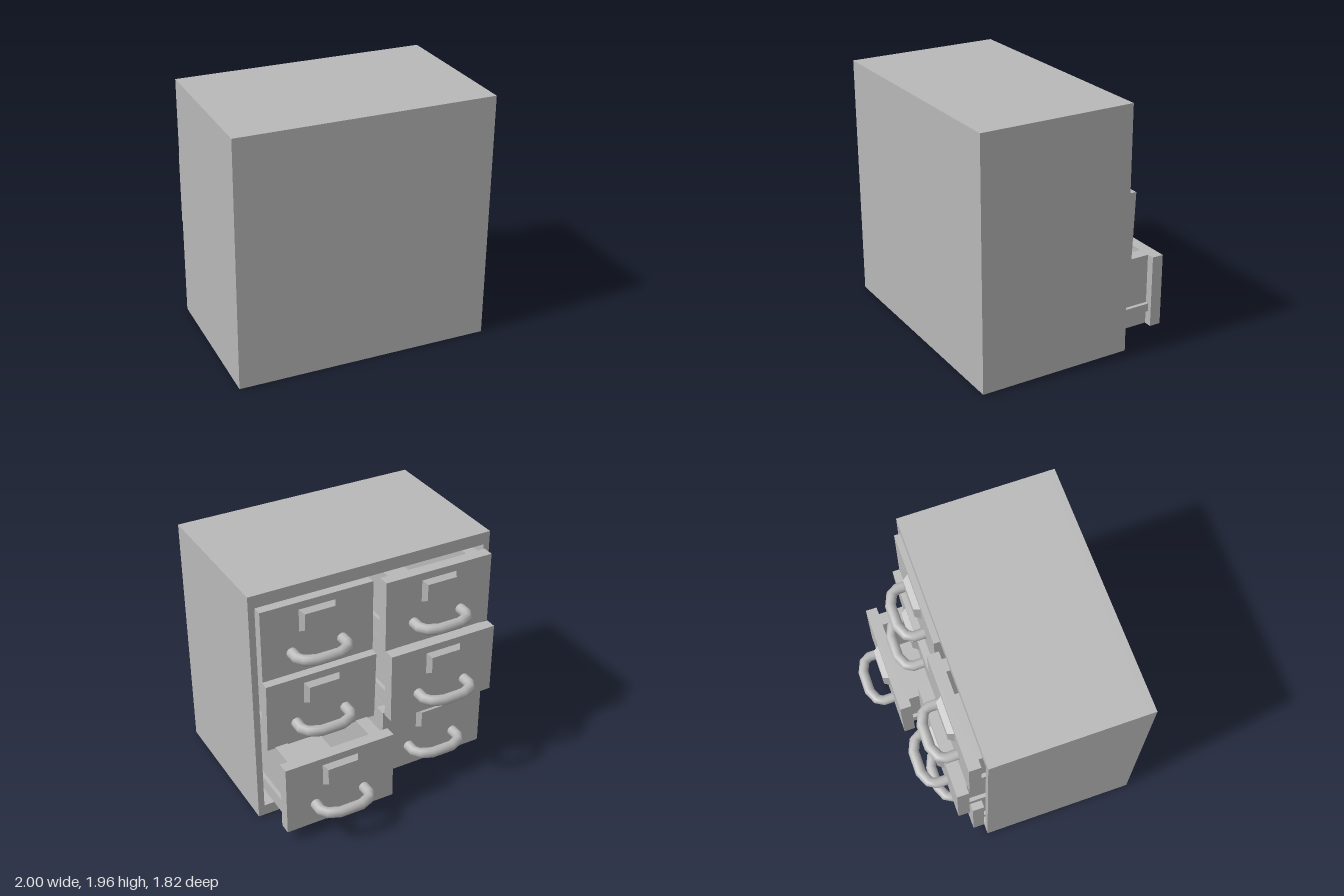
import * as THREE from 'three';

// Straight-segment path whose joints are mitred by TubeGeometry
class Polyline extends THREE.Curve {
  constructor(points) {
    super();
    this.points = points;
  }
  getPoint(t, target = new THREE.Vector3()) {
    const last = this.points.length - 1;
    const s = THREE.MathUtils.clamp(t, 0, 1) * last;
    const i = Math.min(Math.floor(s), last - 1);
    return target.lerpVectors(this.points[i], this.points[i + 1], s - i);
  }
  getUtoTmapping(u) {
    return u;
  }
}

export function createModel() {
  const model = new THREE.Group();
  model.name = 'filingCabinet';
  const grey = new THREE.MeshStandardMaterial({ color: 0xb8b8b8 });
  grey.name = 'cabinet grey';

  const add = (parent, name, geometry, x = 0, y = 0, z = 0) => {
    const mesh = new THREE.Mesh(geometry, grey);
    mesh.name = name;
    mesh.position.set(x, y, z);
    parent.add(mesh);
    return mesh;
  };
  const box = (w, h, d) => new THREE.BoxGeometry(w, h, d);

  // Cabinet shell: a rectangular sleeve open at -z, closed at +z
  const outline = new THREE.Shape([[-1, 0], [1, 0], [1, 1.96], [-1, 1.96]].map(p => new THREE.Vector2(...p)));
  outline.holes.push(new THREE.Path(
    [[-0.95, 0.09], [-0.95, 1.86], [0.95, 1.86], [0.95, 0.09]].map(p => new THREE.Vector2(...p))));
  add(model, 'cabinetShell', new THREE.ExtrudeGeometry(outline, { depth: 1.17, bevelEnabled: false }), 0, 0, -0.32);
  add(model, 'cabinetWall', box(2, 1.96, 0.06), 0, 0.98, 0.88);

  // Label holder: a block whose outer face is narrower
  const labelGeometry = box(0.295, 0.18, 0.045);
  const pos = labelGeometry.attributes.position;
  for (let i = 0; i < pos.count; i++) {
    if (pos.getZ(i) < 0) pos.setXY(i, pos.getX(i) * 0.83, pos.getY(i) * 0.74);
  }
  labelGeometry.computeVertexNormals();

  // Handle: a bent bar with chamfer-like corners
  const half = [[0.205, 0.02], [0.205, -0.085], [0.175, -0.135], [0.088, -0.172]];
  const bend = [...half.map(([x, z]) => [-x, z]), ...half.slice().reverse()];
  const handlePath = new Polyline(bend.map(([x, z]) => new THREE.Vector3(x, 0, z)));
  const handleGeometry = new THREE.TubeGeometry(handlePath, bend.length - 1, 0.042, 12, false);

  // Drawer: origin at the middle of its face, which looks towards -z
  const depth = 0.92;
  const makeDrawer = (name, x, y, z, tilt = 0) => {
    const drawer = new THREE.Group();
    drawer.name = name;
    drawer.position.set(x, y, z);
    drawer.rotation.x = tilt;
    const mid = 0.092 + depth / 2;
    add(drawer, 'drawerFace', box(0.905, 0.58, 0.092), 0, 0, 0.046);
    for (const side of [-1, 1]) {
      add(drawer, 'drawerSide', box(0.1, 0.576, depth), side * 0.34, 0, mid);
      add(drawer, 'drawerRail', box(0.03, 0.065, depth), side * 0.405, -0.1425, mid);
    }
    add(drawer, 'drawerFloor', box(0.58, 0.04, depth), 0, -0.268, mid);
    add(drawer, 'drawerEnd', box(0.58, 0.536, 0.05), 0, 0.02, 0.092 + depth - 0.025);
    add(drawer, 'labelHolder', labelGeometry, 0.003, 0.14, -0.0225);
    add(drawer, 'handle', handleGeometry, 0.01, -0.108, 0);
    model.add(drawer);
  };

  // Two columns of three drawers, each pulled out by a different amount
  const left = 0.483, right = -0.488;
  makeDrawer('topLeftDrawer', left, 1.55, -0.365);
  makeDrawer('middleLeftDrawer', left, 0.958, -0.409, -0.04);
  makeDrawer('bottomLeftDrawer', left, 0.39, -0.692);
  makeDrawer('topRightDrawer', right, 1.55, -0.44);
  makeDrawer('middleRightDrawer', right, 0.97, -0.537);
  makeDrawer('bottomRightDrawer', right, 0.39, -0.42);

  return model;
}
